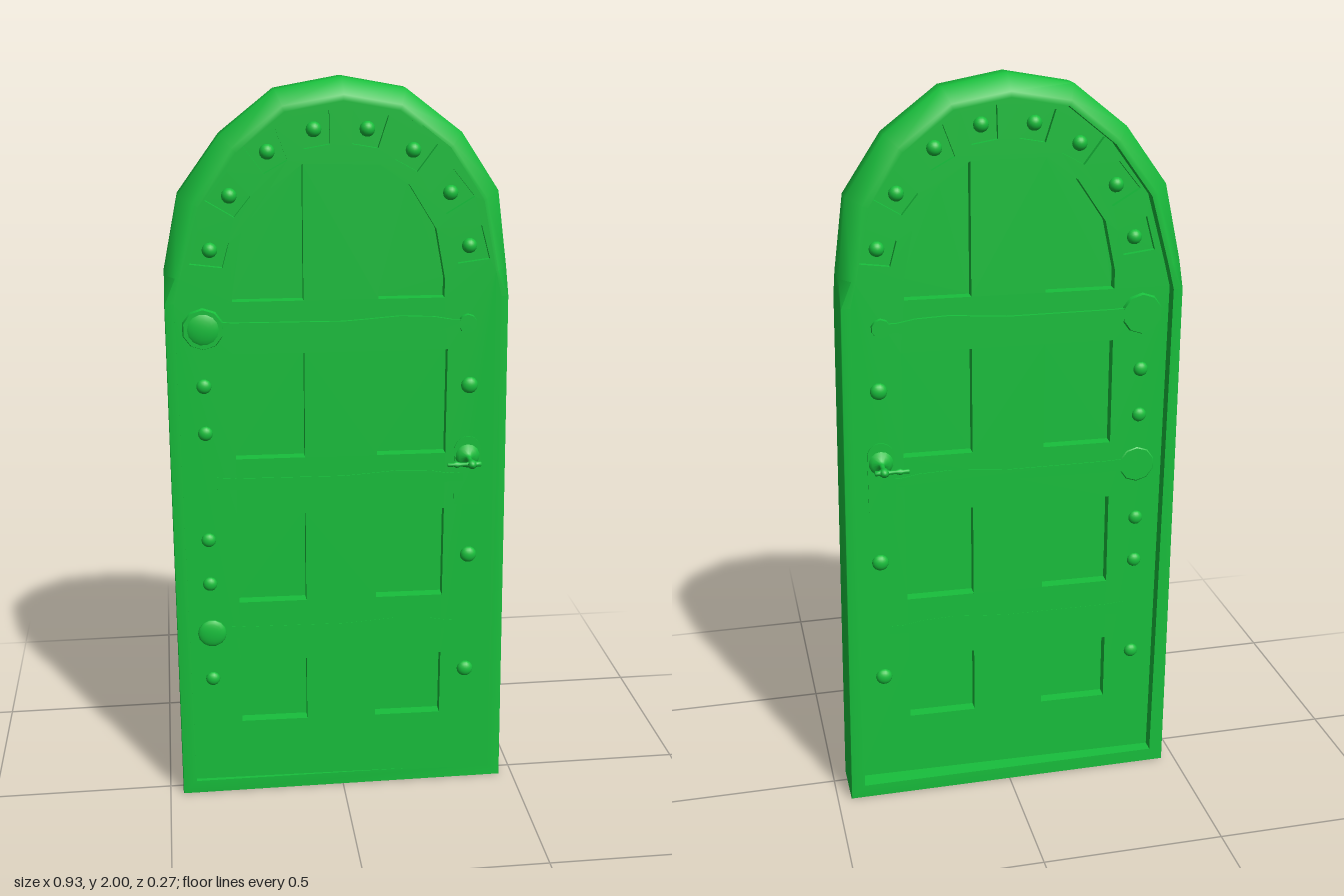
import * as THREE from 'three';
import { toCreasedNormals } from 'three/addons/utils/BufferGeometryUtils.js';

const material = new THREE.MeshStandardMaterial({ color: 0x18bf3c });
const FRONT = 0.046, BACK = -0.1;
const HALF = 0.05, PANEL_DEPTH = 0.032, RECESS_DEPTH = 0.015;

// Outline of the doorway, clockwise seen from the front: x, y, frame width, edge bevel
const outline = [
  [-0.463, 0, 0.055, 0.002], [-0.463, 1.44, 0.025, 0.002], [-0.461, 1.51, 0.04, 0.028],
  [-0.42, 1.71, 0.055, 0.04], [-0.31, 1.86, 0.055, 0.04], [-0.17, 1.97, 0.055, 0.04],
  [0, 2, 0.055, 0.04], [0.165, 1.97, 0.055, 0.04], [0.31, 1.86, 0.055, 0.04],
  [0.41, 1.71, 0.055, 0.04], [0.435, 1.51, 0.04, 0.028], [0.437, 1.44, 0.025, 0.002],
  [0.462, 0, 0.055, 0.002],
];

// Point i of the outline moved inwards by d
function inset(i, d) {
  const n = outline.length;
  const at = (k) => new THREE.Vector2(...outline[(k + n) % n].slice(0, 2));
  const p = at(i);
  const t = at(i + 1).sub(p).normalize().add(p.clone().sub(at(i - 1)).normalize()).normalize();
  return new THREE.Vector2(p.x + t.y * d, p.y - t.x * d);
}

function add(parent, name, geometry, x = 0, y = 0, z = 0) {
  const mesh = new THREE.Mesh(geometry, material);
  mesh.name = name;
  mesh.position.set(x, y, z);
  parent.add(mesh);
  return mesh;
}

const vectors = (points) => points.map(([x, y]) => new THREE.Vector2(x, y));
const extrude = (shape, depth) => new THREE.ExtrudeGeometry(shape, { depth, bevelEnabled: false, curveSegments: 8 });

// Frame: a bevelled section swept round the outline
function frameGeometry() {
  const pos = [], index = [], n = outline.length, m = 6;
  outline.forEach(([, , width, bevel], i) => {
    const inner = inset(i, width), edge = inset(i, bevel), outer = inset(i, 0), dz = bevel * 1.1;
    [[inner, BACK], [inner, FRONT], [edge, FRONT], [outer, FRONT - dz], [outer, BACK + dz], [edge, BACK]]
      .forEach(([p, z]) => pos.push(p.x, p.y, z));
    for (let k = 0; k < m; k++) {
      const j = (i + 1) % n, l = (k + 1) % m;
      const a = i * m + k, b = j * m + k, c = j * m + l, d = i * m + l;
      index.push(a, b, c, a, c, d);
    }
  });
  const g = new THREE.BufferGeometry();
  g.setAttribute('position', new THREE.Float32BufferAttribute(pos, 3));
  g.setIndex(index);
  return toCreasedNormals(g, 0.85);
}

// Recessed panels, two columns
const panels = [
  [[-0.288, 1.44], [-0.103, 1.44], [-0.103, 1.79], [-0.185, 1.73], [-0.26, 1.62], [-0.288, 1.49]],
  [[0.093, 1.44], [0.267, 1.44], [0.267, 1.49], [0.242, 1.62], [0.17, 1.735], [0.093, 1.787]],
];
for (const [y0, y1] of [[0.22, 0.41], [0.59, 0.85], [1.01, 1.3]]) {
  for (const x of [-0.288, 0.093]) panels.push([[x, y0], [x + 0.186, y0], [x + 0.186, y1], [x, y1]]);
}

// Small tapered recesses round the arch
const archSpots = [];
for (const s of [-1, 1]) {
  for (const [x, y] of [[0.337, 1.573], [0.284, 1.711], [0.186, 1.82], [0.068, 1.874]]) archSpots.push([s * x - 0.005, y]);
}
const recesses = archSpots.map(([x, y]) => {
  const a = Math.atan2(y - 1.48, x + 0.005), c = Math.cos(a), s = Math.sin(a);
  return [[-0.042, -0.034], [0.042, -0.046], [0.042, 0.046], [-0.042, 0.034]]
    .map(([r, t]) => [x + r * c - t * s, y + r * s + t * c]);
});

// Leaf slab with openings, each filled by a thinner board
function leafBody(parent) {
  const shape = new THREE.Shape(outline.map((o, i) => inset(i, o[2] - 0.007)));
  shape.holes = [...panels, ...recesses].map((h) => new THREE.Path(vectors(h)));
  add(parent, 'leafSlab', extrude(shape, 2 * HALF), 0, 0, -HALF);
  const fill = (name, points, depth) => {
    const half = HALF - depth;
    add(parent, name, extrude(new THREE.Shape(vectors(points)), 2 * half), 0, 0, -half);
  };
  panels.forEach((p) => fill('panelBoard', p, PANEL_DEPTH));
  recesses.forEach((p) => fill('archBoard', p, RECESS_DEPTH));
}

function dome(parent, name, x, y, z, r, height) {
  const g = new THREE.SphereGeometry(r, 14, 6, 0, Math.PI * 2, 0, Math.PI / 2);
  g.scale(1, height / r, 1).rotateX(Math.PI / 2);
  add(parent, name, g, x, y, z);
}

function disc(parent, name, x, y, z, r, height) {
  const g = new THREE.CylinderGeometry(r * 0.94, r, height, 10).rotateX(Math.PI / 2);
  add(parent, name, g, x, y, z + height / 2);
}

// Flat strap with a swelling near its free end
function strap(parent, side, y, height) {
  const half = [[-0.34, 0.02], [-0.29, 0.016], [0, 0.014], [0.06, 0.018], [0.15, 0.025], [0.24, 0.021], [0.29, 0.012], [0.33, 0.012]];
  const points = [...half, ...half.slice().reverse().map(([x, w]) => [x, -w])];
  add(parent, 'strap', extrude(new THREE.Shape(vectors(points.map(([x, w]) => [x * side, w]))), height), 0, y, HALF);
}

// Lever handle, built along +z from the leaf's face
function handle(parent, side, reach) {
  const g = new THREE.Group();
  g.name = 'handle';
  g.position.set(0.34 * side, 1, HALF);
  const plate = new THREE.Shape();
  plate.moveTo(-0.036, -0.14).lineTo(0.036, -0.14).lineTo(0.036, 0.02);
  plate.absarc(0, 0.02, 0.036, 0, Math.PI, false);
  add(g, 'lockPlate', extrude(plate, side > 0 ? 0.002 : 0.004));
  const shaft = [[0.033, 0], [0.033, 0.004], [0.024, 0.011], [0.011, 0.015], [0.007, 0.025],
    [0.006, reach - 0.018], [0.011, reach - 0.01], [0.012, reach + 0.006], [0.006, reach + 0.013], [0, reach + 0.014]];
  add(g, 'handleShaft', new THREE.LatheGeometry(vectors(shaft), 14).rotateX(Math.PI / 2));
  const lever = [[0, -0.026], [0.007, -0.024], [0.007, -0.014], [0.01, 0], [0.005, 0.016], [0.005, 0.03],
    [0.009, 0.042], [0.005, 0.05], [0.006, 0.065], [0, 0.067]];
  const bar = new THREE.LatheGeometry(vectors(lever), 10).rotateZ(side * Math.PI / 2);
  add(g, 'lever', bar, 0, 0, reach);
  parent.add(g);
}

// Fittings on one face of the leaf; side -1 mirrors them for the back
function leafFittings(side) {
  const g = new THREE.Group();
  g.name = side > 0 ? 'frontFittings' : 'backFittings';
  if (side < 0) g.rotation.y = Math.PI;
  archSpots.forEach(([x, y]) => dome(g, 'archStud', x * side, y, HALF - RECESS_DEPTH, 0.02, 0.018));
  for (const y of [1.215, 1.085, 0.78, 0.65, 0.36]) dome(g, 'hingeSideStud', -0.367 * side, y, HALF, 0.02, 0.014);
  for (const [x, y] of [[0.34, 1.2], [0.35, 0.71], [0.35, 0.357]]) dome(g, 'lockSideStud', x * side, y, HALF, 0.023, 0.016);
  strap(g, side, 1.37, 0.009);
  disc(g, 'strapHingeEnd', -0.365 * side, 1.37, HALF, 0.056, 0.01);
  disc(g, 'strapTip', 0.33 * side, 1.37, HALF, 0.026, 0.01);
  strap(g, side, 0.94, 0.0025);
  strap(g, side, 0.5, 0.0007);
  if (side > 0) {
    dome(g, 'hingeBoss', -0.365, 1.37, HALF, 0.05, 0.018);
    dome(g, 'hingeBoss', -0.365, 0.5, HALF, 0.04, 0.012);
  } else {
    disc(g, 'strapHingeEnd', 0.365, 0.94, HALF, 0.05, 0.0025);
  }
  handle(g, side, 0.071);
  return g;
}

export function createModel() {
  const model = new THREE.Group();
  model.name = 'archedDoor';
  add(model, 'frame', frameGeometry());

  // The leaf stands very slightly ajar
  const leaf = new THREE.Group();
  leaf.name = 'doorLeaf';
  leaf.position.z = -0.008;
  leaf.rotation.y = -0.02;
  leafBody(leaf);
  leaf.add(leafFittings(1), leafFittings(-1));
  model.add(leaf);
  return model;
}
